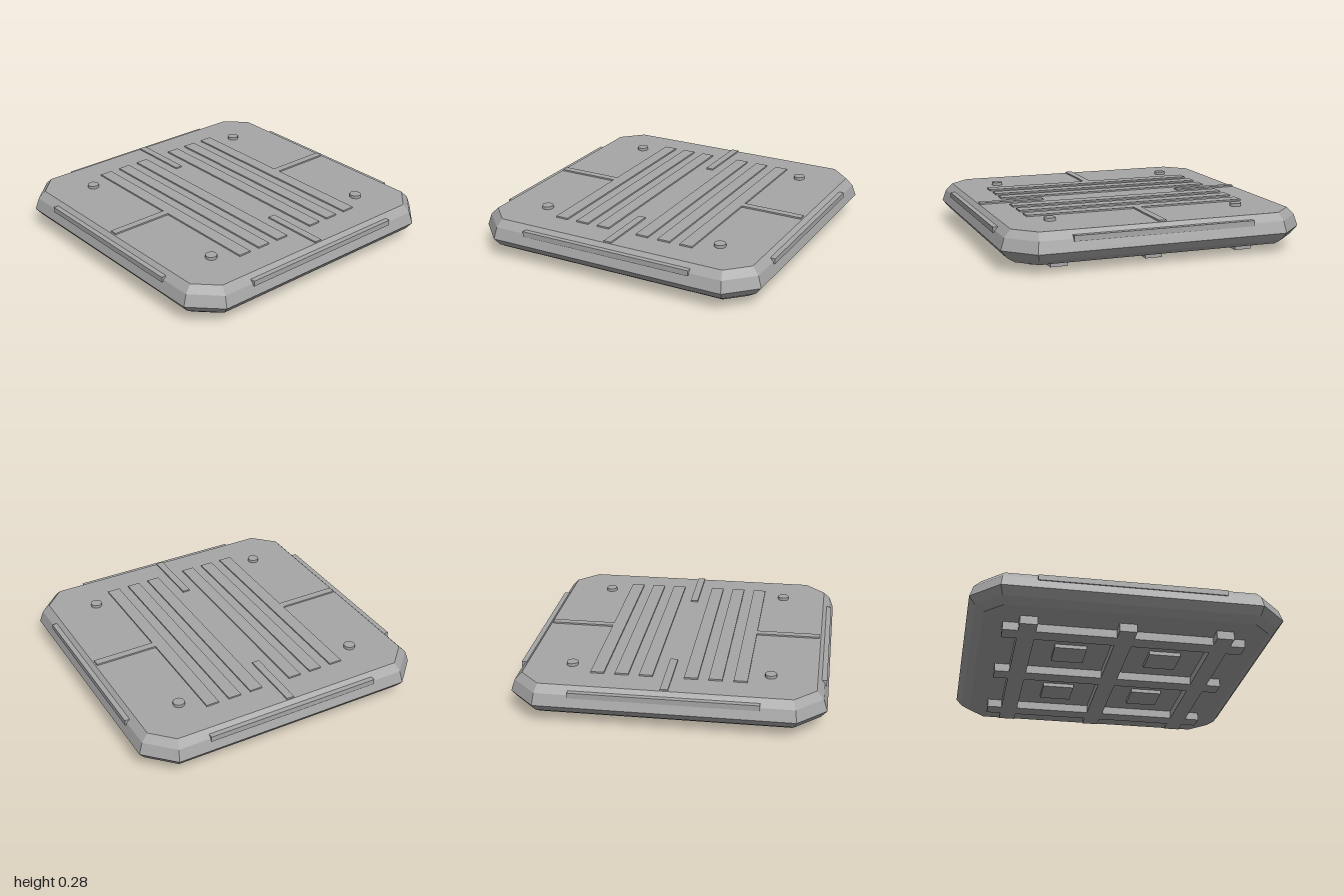
import * as THREE from 'three';

// Closed loft through chamfered-square rings: [half width, chamfer start, y], bottom to top
function loftChamferedSquares(rings) {
  const outline = ([w, c, y]) =>
    [[c, w], [w, c], [w, -c], [c, -w], [-c, -w], [-w, -c], [-w, c], [-c, w]]
      .map(([x, z]) => [x, y, z]);
  const loops = rings.map(outline);
  const pos = [];
  const tri = (...pts) => pts.forEach((p) => pos.push(...p));
  for (let r = 0; r < loops.length - 1; r++) {
    for (let i = 0; i < 8; i++) {
      const j = (i + 1) % 8;
      const [a, b, c, d] = [loops[r][i], loops[r][j], loops[r + 1][j], loops[r + 1][i]];
      tri(a, b, c);
      tri(a, c, d);
    }
  }
  const bottom = loops[0], top = loops[loops.length - 1];
  for (let i = 1; i < 7; i++) {
    tri(top[0], top[i], top[i + 1]);
    tri(bottom[0], bottom[i + 1], bottom[i]);
  }
  const geo = new THREE.BufferGeometry();
  geo.setAttribute('position', new THREE.Float32BufferAttribute(pos, 3));
  geo.computeVertexNormals();
  return geo;
}

export function createModel() {
  const model = new THREE.Group();
  const grey = new THREE.MeshStandardMaterial({ color: 0xa6a6a6 });
  grey.name = 'grey';

  const add = (name, geo, x = 0, y = 0, z = 0) => {
    const mesh = new THREE.Mesh(geo, grey);
    mesh.name = name;
    mesh.position.set(x, y, z);
    model.add(mesh);
    return mesh;
  };
  // Box given by its centre in plan, its plan size and its bottom and top heights
  const box = (name, x, z, w, d, y0, y1) =>
    add(name, new THREE.BoxGeometry(w, y1 - y0, d), x, (y0 + y1) / 2, z);

  // Slab with bevelled rim and cut corners
  add('slab', loftChamferedSquares([
    [0.905, 0.79, 0.055],
    [0.96, 0.805, 0.09],
    [1.0, 0.82, 0.14],
    [0.975, 0.81, 0.215],
    [0.93, 0.795, 0.262],
  ]));

  for (const s of [-1, 1]) {
    // Long ribs on the top
    for (const x of [0.143, 0.298, 0.455]) box('topRib', s * x, 0, 0.086, 1.49, 0.25, 0.272);

    // Bars reaching in from the four edges
    box('sideBar', s * 0.705, 0, 0.43, 0.05, 0.25, 0.272);
    box('endBar', 0, s * 0.708, 0.05, 0.435, 0.25, 0.272);

    // Rim strips
    box('sideStrip', s * 0.97, 0, 0.036, 1.19, 0.2, 0.236);
    box('endStrip', 0, s * 0.97, 1.19, 0.036, 0.2, 0.236);

    // Corner studs and square pads under each quarter
    for (const t of [-1, 1]) {
      add('stud', new THREE.CylinderGeometry(0.038, 0.038, 0.03, 12).toNonIndexed(),
        s * 0.637, 0.267, t * 0.637).geometry.computeVertexNormals();
      box('underPad', s * 0.313, t * 0.313, 0.21, 0.21, 0.03, 0.06);
    }
  }

  // Crossing grid of bars underneath
  for (const p of [-0.625, 0, 0.625]) {
    box('underBarAlong', p, 0, 0.112, 1.56, 0, 0.06);
    box('underBarAcross', 0, p, 1.56, 0.112, 0, 0.06);
  }
  return model;
}
